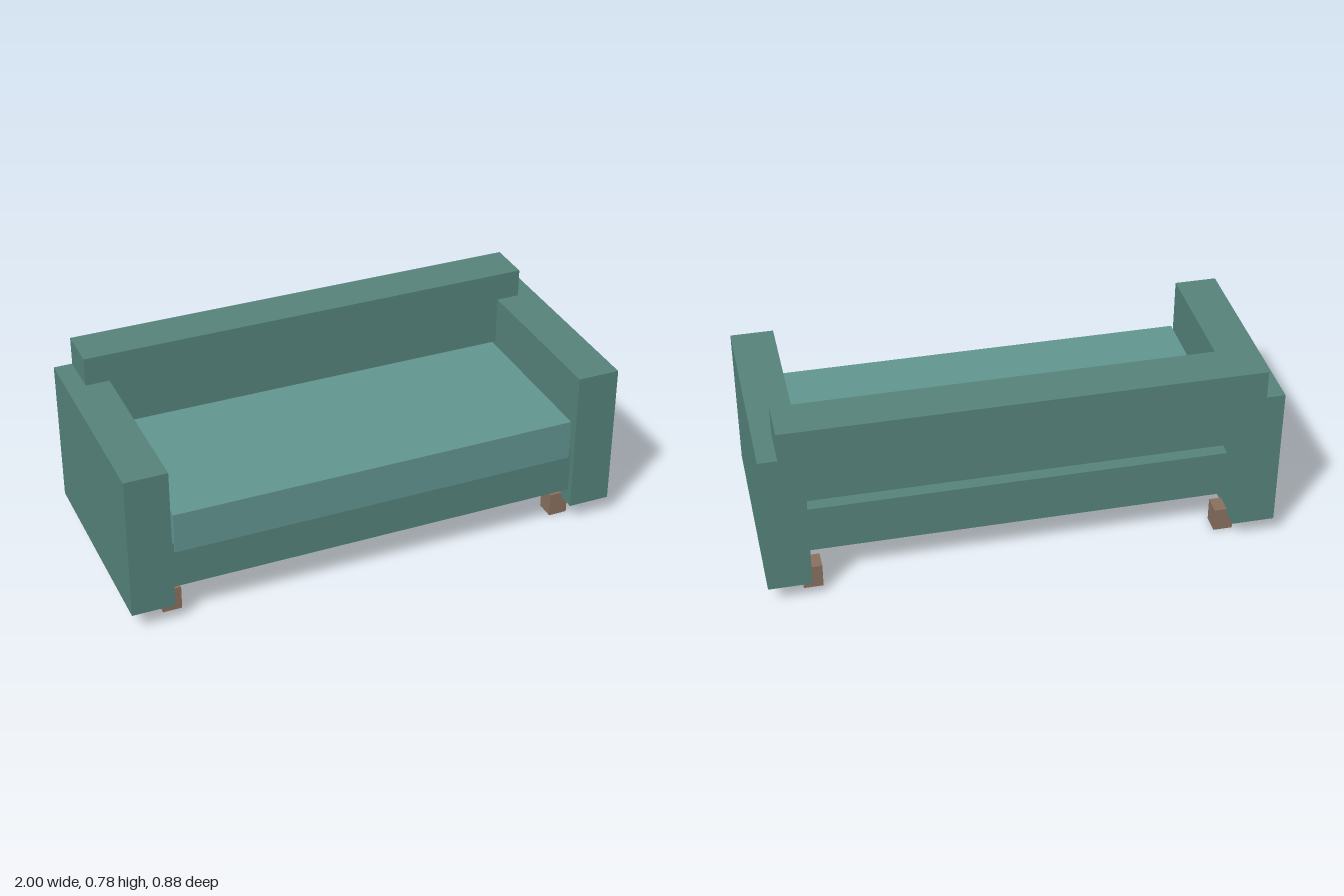
import * as THREE from 'three';

const fabric = new THREE.MeshStandardMaterial({ color: 0x55827a });
const cushionFabric = new THREE.MeshStandardMaterial({ color: 0x62958f });
const wood = new THREE.MeshStandardMaterial({ color: 0x89705f });

// Box given by its lower and upper limits on each axis
function block(name, material, [x0, x1], [y0, y1], [z0, z1]) {
  const mesh = new THREE.Mesh(new THREE.BoxGeometry(x1 - x0, y1 - y0, z1 - z0), material);
  mesh.position.set((x0 + x1) / 2, (y0 + y1) / 2, (z0 + z1) / 2);
  mesh.name = name;
  return mesh;
}

export function createModel() {
  const sofa = new THREE.Group();
  sofa.name = 'sofa';

  // Seat frame, loose cushion and raised backrest
  sofa.add(
    block('seatBase', fabric, [-0.83, 0.83], [0.145, 0.34], [-0.32, 0.413]),
    block('seatCushion', cushionFabric, [-0.817, 0.817], [0.305, 0.47], [-0.26, 0.422]),
    block('backrest', fabric, [-0.926, 0.926], [0.47, 0.782], [-0.437, -0.258])
  );

  // Arms and legs, mirrored left and right
  for (const [side, s] of [['left', 1], ['right', -1]]) {
    const span = (a, b) => (s > 0 ? [a, b] : [-b, -a]);
    sofa.add(block(side + 'Arm', fabric, span(0.831, 1), [0.079, 0.667], [-0.4375, 0.4375]));
    sofa.add(block(side + 'FrontLeg', wood, span(0.782, 0.858), [0, 0.097], [0.287, 0.363]));
    sofa.add(block(side + 'BackLeg', wood, span(0.782, 0.858), [0, 0.097], [-0.363, -0.287]));
  }
  return sofa;
}
